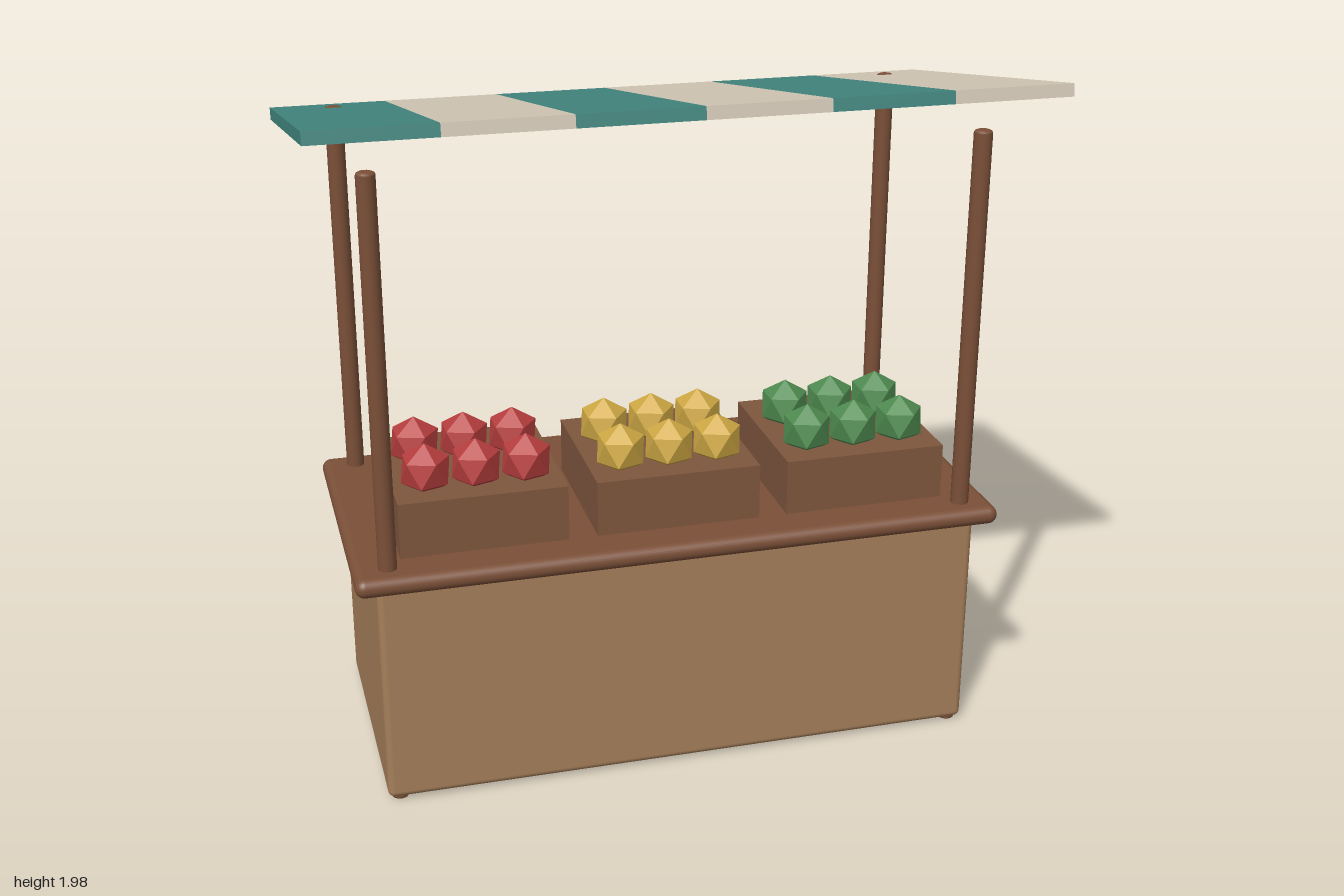
import * as THREE from 'three';
import { RoundedBoxGeometry } from 'three/addons/geometries/RoundedBoxGeometry.js';

function makeMaterial(name, color, flatShading = false) {
  const m = new THREE.MeshStandardMaterial({ color, flatShading });
  m.name = name;
  return m;
}

export function createModel() {
  const tan = makeMaterial('tan wood', 0xa67f5a);
  const brown = makeMaterial('brown wood', 0x7b5038);
  const crateBrown = makeMaterial('crate wood', 0x7f573e);
  const teal = makeMaterial('teal cloth', 0x43877f);
  const cream = makeMaterial('cream cloth', 0xd4c9b8);
  const red = makeMaterial('red fruit', 0xb83e3e, true);
  const yellow = makeMaterial('yellow fruit', 0xd0a944, true);
  const green = makeMaterial('green fruit', 0x4f8b50, true);

  const stall = new THREE.Group();
  stall.name = 'marketStall';
  const add = (parent, name, geometry, material, x, y, z) => {
    const mesh = new THREE.Mesh(geometry, material);
    mesh.name = name;
    mesh.position.set(x, y, z);
    parent.add(mesh);
    return mesh;
  };

  // Counter base and rounded top
  add(stall, 'counterBase', new RoundedBoxGeometry(1.74, 0.68, 0.79, 3, 0.02), tan, 0, 0.35, 0);
  add(stall, 'counterTop', new RoundedBoxGeometry(1.86, 0.055, 0.874, 4, 0.027), brown, 0, 0.694, 0);

  // Four posts with softened ends, running down through the counter
  const r = 0.026, h = 1.827, b = 0.008;
  const profile = [[0, 0], [r - b, 0], [r - 0.002, 0.003], [r, b], [r, h - b], [r - 0.002, h - 0.003], [r - b, h], [0, h]]
    .map(([x, y]) => new THREE.Vector2(x, y));
  const postGeometry = new THREE.LatheGeometry(profile, 16);
  for (const sx of [-1, 1]) {
    for (const sz of [-1, 1]) {
      add(stall, (sz > 0 ? 'front' : 'back') + (sx > 0 ? 'Left' : 'Right') + 'Post',
        postGeometry, brown, sx * 0.834, 0, sz * 0.362);
    }
  }

  // Sloping awning of six alternating strips, high at the front
  const awning = new THREE.Group();
  awning.name = 'awning';
  awning.position.set(0, 1.87, 0);
  awning.rotation.x = -THREE.MathUtils.degToRad(10);
  stall.add(awning);
  const stripGeometry = new THREE.BoxGeometry(1 / 3, 0.035, 1.1);
  for (let i = 0; i < 6; i++) {
    add(awning, 'awningStrip', stripGeometry, i % 2 ? cream : teal, -1 + (i + 0.5) / 3, 0, 0);
  }

  // Crates, each with two rows of three faceted fruits standing on a point
  const crateGeometry = new THREE.BoxGeometry(0.474, 0.18, 0.474);
  const fruitGeometry = new THREE.IcosahedronGeometry(0.077, 0);
  fruitGeometry.rotateX(-Math.atan((1 + Math.sqrt(5)) / 2));
  fruitGeometry.rotateY(Math.PI / 2);
  [red, yellow, green].forEach((material, i) => {
    const x = (i - 1) * 0.556;
    add(stall, 'crate', crateGeometry, crateBrown, x, 0.794, 0.079);
    for (const z of [0, 0.2]) {
      for (const k of [-1, 0, 1]) {
        add(stall, 'fruit', fruitGeometry, material, x + k * 0.142, 0.93, z);
      }
    }
  });

  return stall;
}
